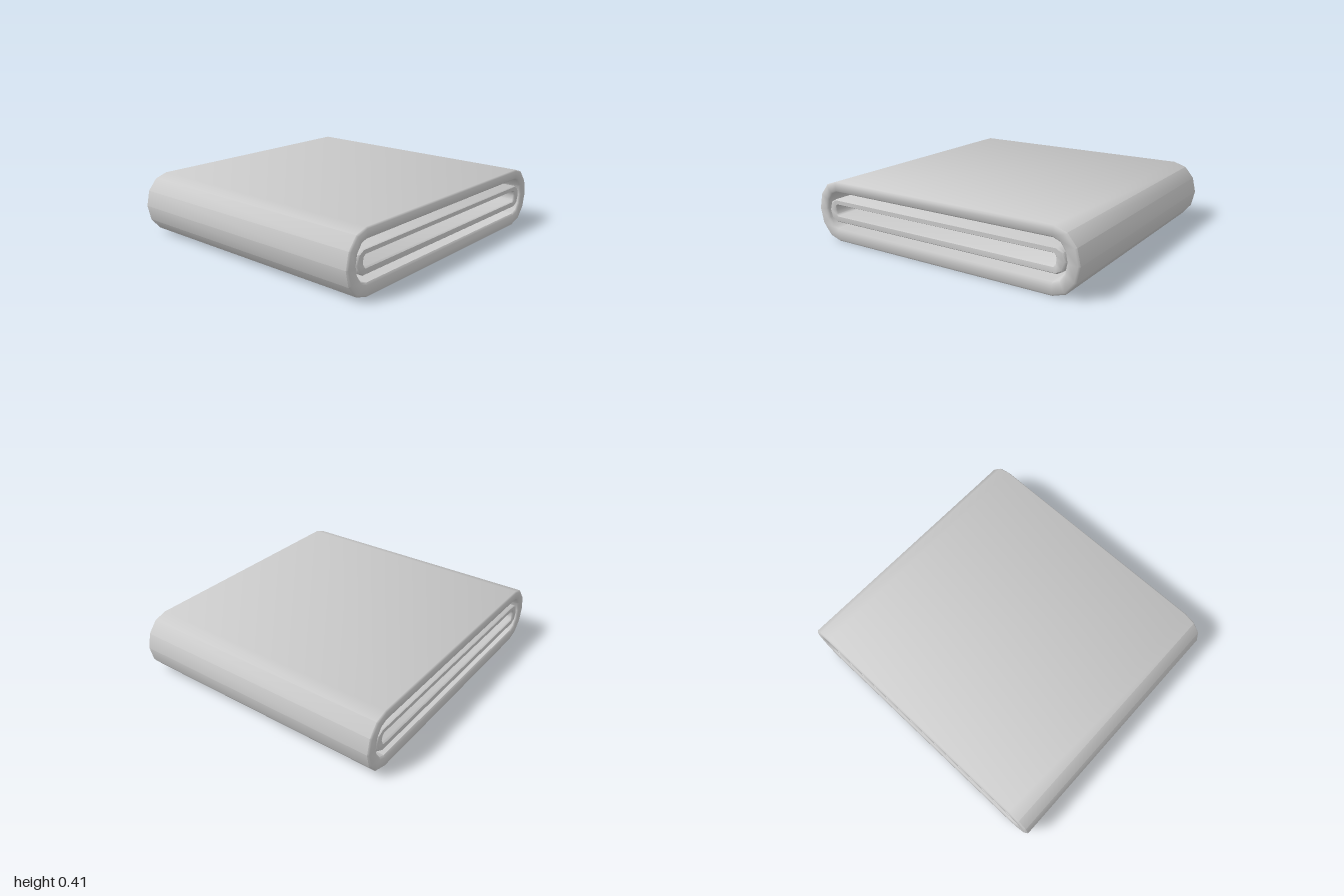
import * as THREE from 'three';
import { toCreasedNormals } from 'three/addons/utils/BufferGeometryUtils.js';

const material = new THREE.MeshStandardMaterial({ color: 0xcccccc });
const CENTRE_Y = 0.204;

// Flattened loop in the z/y plane: two straight runs joined by faceted bends
function foldProfile({ flat, bend, half, y }, segments) {
  const points = [];
  for (const side of [1, -1]) {
    for (let i = 0; i <= segments; i++) {
      const a = -Math.PI / 2 + (Math.PI * i) / segments;
      points.push([side * (flat + bend * Math.cos(a)), y + side * half * Math.sin(a)]);
    }
  }
  return points;
}

// Thick cloth sleeve: a bevelled sheet section swept around the fold
function createSleeve(name, outer, inner, halfWidth, segments) {
  const a = foldProfile(outer, segments);
  const b = foldProfile(inner, segments);
  const w = halfWidth;
  const e = w - 0.01;
  // [x, depth through the cloth]
  const section = [[-e, 0], [e, 0], [w, 0.15], [w, 0.85], [e, 1], [-e, 1], [-w, 0.85], [-w, 0.15]];
  const positions = [];
  const index = [];
  const n = section.length;
  a.forEach((p, i) => {
    section.forEach(([x, k], j) => {
      const z = THREE.MathUtils.lerp(p[0], b[i][0], k);
      const y = THREE.MathUtils.lerp(p[1], b[i][1], k);
      // the front fold tapers slightly towards the left side
      positions.push(x, y, z > 0 ? z * (1 - 0.009 * (x + 0.9)) : z);
      const i2 = (i + 1) % a.length;
      const j2 = (j + 1) % n;
      index.push(i * n + j, i * n + j2, i2 * n + j);
      index.push(i * n + j2, i2 * n + j2, i2 * n + j);
    });
  });
  const geometry = new THREE.BufferGeometry();
  geometry.setAttribute('position', new THREE.Float32BufferAttribute(positions, 3));
  geometry.setIndex(index);
  const mesh = new THREE.Mesh(toCreasedNormals(geometry, 0.9), material);
  mesh.name = name;
  return mesh;
}

export function createModel() {
  const model = new THREE.Group();
  model.name = 'foldedTowel';

  // Outer wrap
  model.add(createSleeve('outerFold',
    { flat: 0.83, bend: 0.17, half: 0.204, y: CENTRE_Y },
    { flat: 0.83, bend: 0.09, half: 0.127, y: 0.212 }, 0.9, 6));

  // Flat loop tucked inside
  model.add(createSleeve('innerFold',
    { flat: 0.85, bend: 0.06, half: 0.078, y: 0.207 },
    { flat: 0.83, bend: 0.018, half: 0.036, y: 0.212 }, 0.89, 4));

  return model;
}
